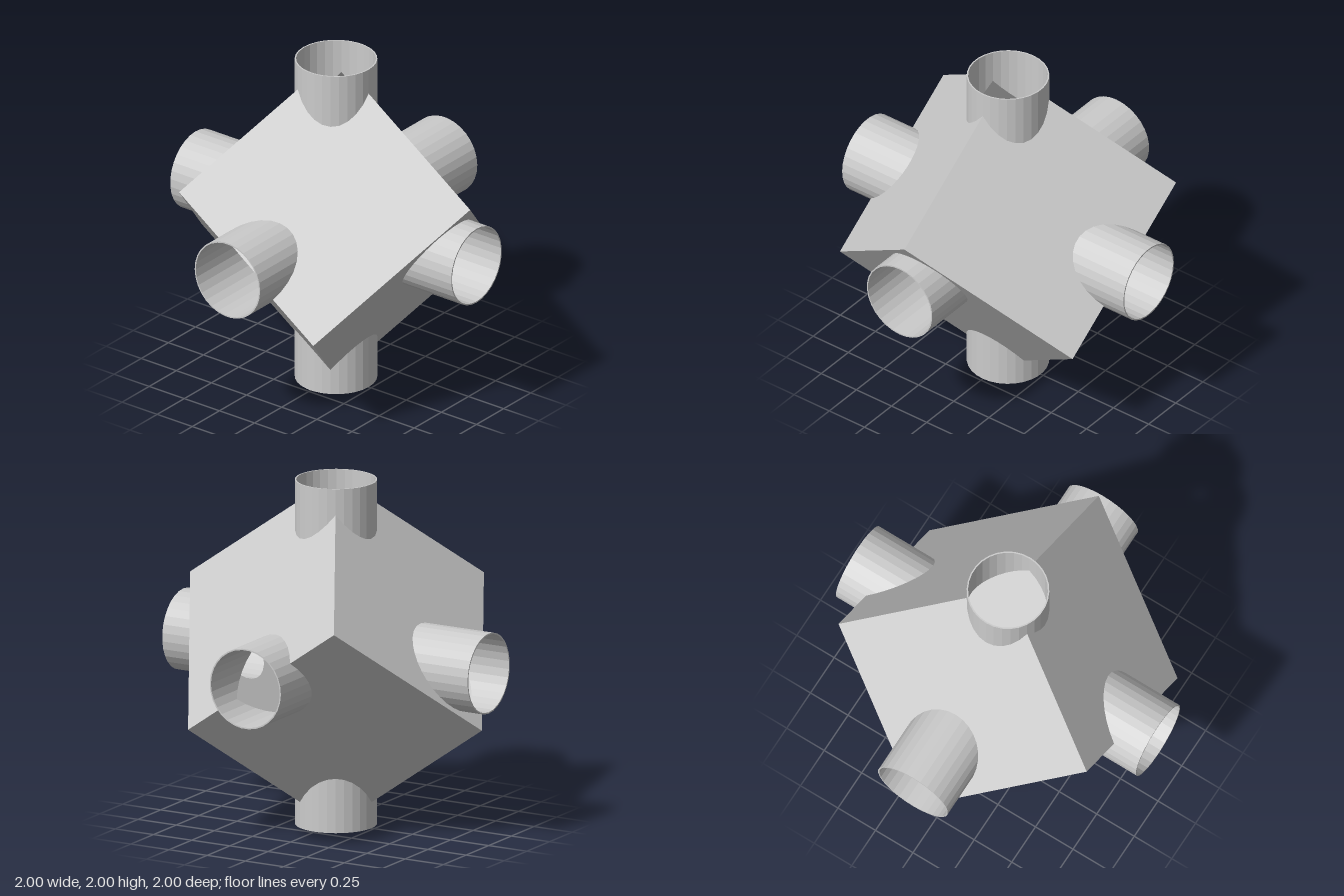
import * as THREE from 'three';

const SIDES = 30;                 // facets around each tube
const OUTER = { half: 0.585, radius: 0.233, sign: 1 };   // outside skin
const INNER = { half: 0.555, radius: 0.225, sign: -1 };  // inside skin
const V = (x, y, z) => new THREE.Vector3(x, y, z);

// Cube axes: the cube balances on one corner
const A = Math.sqrt(2 / 3), B = Math.sqrt(1 / 3), C = Math.sqrt(1 / 6), D = Math.sqrt(1 / 2);
const cubeAxes = [V(A, -B, 0), V(-C, -B, D), V(-C, -B, -D)];
const normals = cubeAxes.flatMap(a => [a, a.clone().negate()]);

// Tubes: axis and the direction where facets start, so corners land on cube edges
const tubes = [
  { name: 'topTube', axis: V(0, 1, 0), u: V(1, 0, 0) },
  { name: 'bottomTube', axis: V(0, -1, 0), u: V(1, 0, 0) },
  { name: 'leftTube', axis: V(1, 0, 0), u: V(0, 1, 0) },
  { name: 'rightTube', axis: V(-1, 0, 0), u: V(0, 1, 0) },
  { name: 'frontTube', axis: V(0, 0, 1), u: V(-A, B, 0) },
  { name: 'backTube', axis: V(0, 0, -1), u: V(-A, B, 0) },
];
for (const t of tubes) t.v = t.axis.clone().cross(t.u);

function tubePoint(t, i, radius, s) {
  const a = (i / SIDES) * Math.PI * 2;
  return t.u.clone().multiplyScalar(radius * Math.cos(a))
    .addScaledVector(t.v, radius * Math.sin(a)).addScaledVector(t.axis, s);
}

// Distance along the tube at which facet line i meets a cube face
function hit(t, i, skin, n) {
  const slope = n.dot(t.axis);
  return slope < 1e-6 ? Infinity : (skin.half - n.dot(tubePoint(t, i, skin.radius, 0))) / slope;
}
const exit = (t, i, skin) => Math.min(...normals.map(n => hit(t, i, skin, n)));

// One cube face with tube openings cut through its middle, edges or corners
function faceGeometry(normal, skin) {
  const { half, radius, sign } = skin;
  const n = normal.clone().multiplyScalar(sign);
  const p = cubeAxes.find(a => Math.abs(a.dot(n)) < 0.5);
  const q = n.clone().cross(p);
  const items = [], holes = [];

  // Corners that are not swallowed by a tube
  for (const [x, y] of [[1, 1], [-1, 1], [-1, -1], [1, -1]]) {
    const c = normal.clone().multiplyScalar(half).addScaledVector(p, x * half).addScaledVector(q, y * half);
    const swallowed = tubes.some(t => c.clone().cross(t.axis).length() < radius);
    if (!swallowed) items.push([new THREE.Vector2(x * half, y * half)]);
  }

  for (const t of tubes) {
    if (normal.dot(t.axis) < 1e-6) continue;
    const pts = [], inside = [];
    for (let i = 0; i < SIDES; i++) {
      const w = tubePoint(t, i, radius, hit(t, i, skin, normal));
      const pt = new THREE.Vector2(w.dot(p), w.dot(q));
      pts.push(pt);
      inside.push(Math.max(Math.abs(pt.x), Math.abs(pt.y)) < half + 1e-4);
    }
    if (inside.every(Boolean)) { holes.push(pts); continue; }
    const start = inside.findIndex((b, i) => b && !inside[(i + SIDES - 1) % SIDES]);
    if (start < 0) continue;
    const run = [];
    for (let i = start; inside[i % SIDES]; i++) run.push(pts[i % SIDES]);
    if (run.length < 2) continue;
    if (run[0].cross(run[run.length - 1]) < 0) run.reverse();
    items.push(run);
  }

  // Order corners and notches around the face centre
  const angle = r => {
    const m = r[0].clone().add(r[r.length - 1]);
    return Math.atan2(m.y, m.x);
  };
  items.sort((a, b) => angle(a) - angle(b));
  const shape = new THREE.Shape(items.flat());
  for (const h of holes) shape.holes.push(new THREE.Path(h));
  const matrix = new THREE.Matrix4().makeBasis(p, q, n)
    .setPosition(normal.clone().multiplyScalar(half));
  return new THREE.ShapeGeometry(shape).applyMatrix4(matrix);
}

// Tube: outside wall, inside wall and the rim ring, each ending on the cube skin
function tubeGeometry(t) {
  const points = [];
  const quad = (a, b, c, d) => points.push(a, b, c, a, c, d);
  for (let i = 0; i < SIDES; i++) {
    const j = i + 1;
    const wall = skin => [
      tubePoint(t, i, skin.radius, exit(t, i, skin)), tubePoint(t, j, skin.radius, exit(t, j, skin)),
      tubePoint(t, j, skin.radius, 1), tubePoint(t, i, skin.radius, 1)];
    const o = wall(OUTER), k = wall(INNER);
    quad(...o);
    quad(...k.slice().reverse());
    quad(k[3], o[3], o[2], k[2]);
  }
  const g = new THREE.BufferGeometry().setFromPoints(points);
  g.computeVertexNormals();
  return g;
}

export function createModel() {
  const model = new THREE.Group();
  model.name = 'hollowCubeConnector';
  const material = new THREE.MeshStandardMaterial({ color: 0xcccccc, flatShading: true });
  const add = (parent, name, geometry) => {
    const mesh = new THREE.Mesh(geometry, material);
    mesh.name = name;
    parent.add(mesh);
  };

  // Hollow cube shell
  const cube = new THREE.Group();
  cube.name = 'cubeShell';
  normals.forEach((n, i) => {
    add(cube, `outerFace${i + 1}`, faceGeometry(n, OUTER));
    add(cube, `innerFace${i + 1}`, faceGeometry(n, INNER));
  });
  model.add(cube);

  // Six open tubes
  for (const t of tubes) add(model, t.name, tubeGeometry(t));

  model.children.forEach(c => { c.position.y = 1; });
  return model;
}
